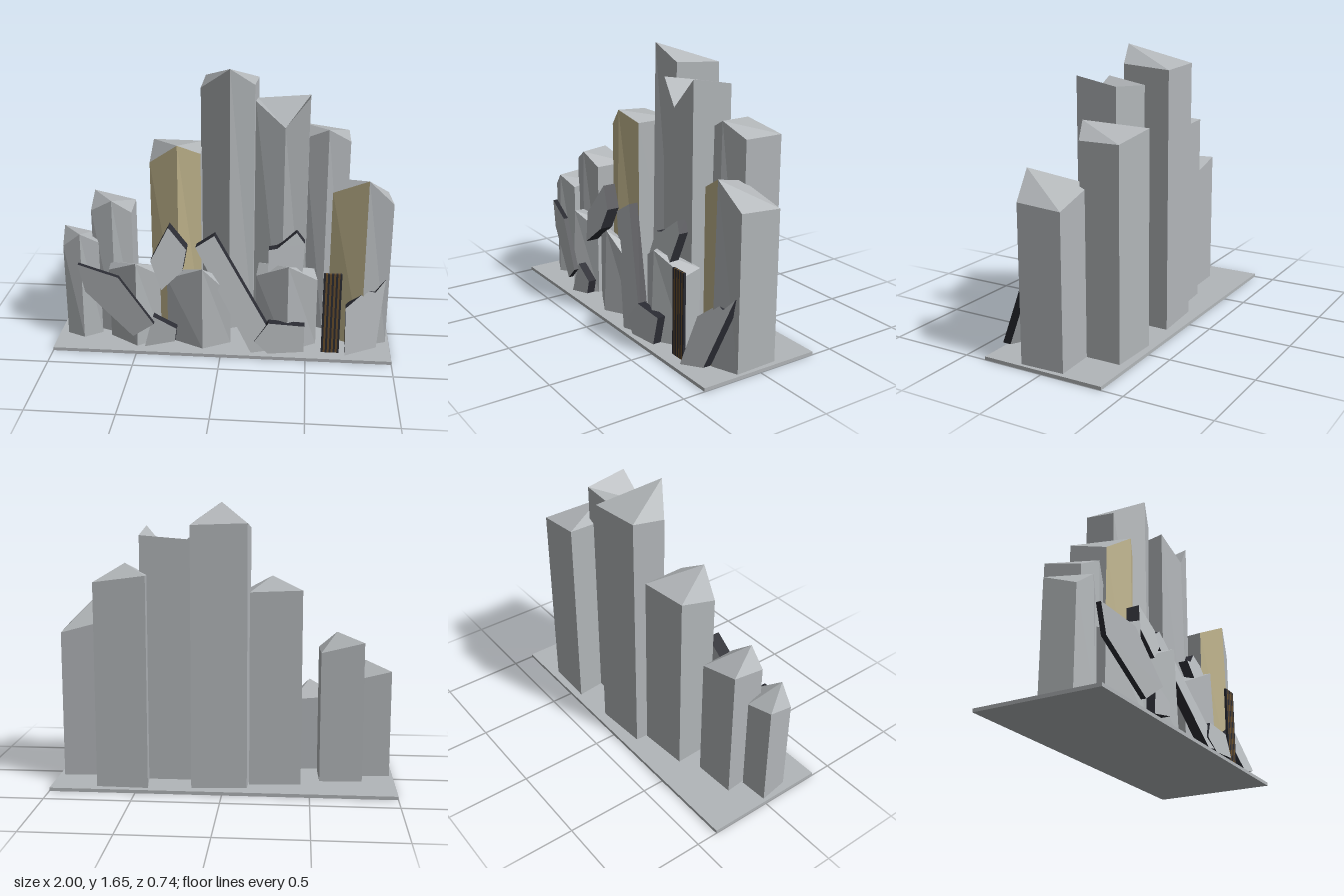
import * as THREE from 'three';

const mat = (name, color) => Object.assign(new THREE.MeshStandardMaterial({ color, flatShading: true }), { name });

export function createModel() {
  const rock = mat('grey rock', 0xb2b6b9);
  const sand = mat('sandy rock', 0xc0b48c);
  const dark = mat('dark rock edge', 0x2b2c33);
  const brown = mat('brown bar', 0x6a4f2c);
  const model = new THREE.Group();
  model.name = 'rockFormation';
  const floor = 0.02;

  const add = (name, geometry, material) => {
    const mesh = new THREE.Mesh(geometry, material);
    mesh.name = name;
    model.add(mesh);
    return mesh;
  };

  // Five-sided column: corners [x, z, height] run back left, back right, right, front, left.
  // The slanted cap fans out from the front corner; sandy lists the sides in the second colour.
  function column(name, corners, sandy = []) {
    const pos = [];
    const geometry = new THREE.BufferGeometry();
    const top = corners.map(([x, z, h]) => [x, h, z]);
    const base = corners.map(([x, z], i) => [x, floor, z + (i === 3 ? 0.02 : 0)]);
    corners.forEach((_, i) => {
      const j = (i + 1) % 5;
      geometry.addGroup(pos.length / 3, 6, sandy.includes(i) ? 1 : 0);
      [base[i], top[i], top[j], base[i], top[j], base[j]].forEach((p) => pos.push(...p));
    });
    geometry.addGroup(pos.length / 3, 9, 0);
    for (const [i, j] of [[4, 0], [0, 1], [1, 2]]) pos.push(...top[3], ...top[j], ...top[i]);
    geometry.setAttribute('position', new THREE.Float32BufferAttribute(pos, 3));
    geometry.computeVertexNormals();
    add(name, geometry, [rock, sand]);
  }

  // Tall columns, from the model's right to its left
  column('farRightColumn', [[-0.98, 0, 0.66], [-0.81, -0.01, 0.62], [-0.74, 0.16, 0.62], [-0.84, 0.21, 0.69], [-0.95, 0.18, 0.6]]);
  column('rightColumn', [[-0.81, -0.12, 0.85], [-0.56, -0.13, 0.79], [-0.55, 0.09, 0.79], [-0.66, 0.13, 0.875], [-0.79, 0.1, 0.8]]);
  column('rightSandyColumn', [[-0.45, -0.2, 1.16], [-0.15, -0.22, 1.15], [-0.14, 0.04, 1.15], [-0.27, 0.1, 1.215], [-0.44, 0.04, 1.09]], [2, 3]);
  column('tallestColumn', [[-0.14, -0.29, 1.54], [0.18, -0.31, 1.53], [0.17, -0.02, 1.55], [0.03, 0.03, 1.65], [-0.15, -0.09, 1.51]]);
  column('notchedColumn', [[0.18, -0.16, 1.44], [0.49, -0.16, 1.465], [0.485, 0.09, 1.51], [0.35, 0.12, 1.34], [0.18, 0.07, 1.48]]);
  column('backLeftColumn', [[0.43, -0.33, 1.25], [0.73, -0.32, 1.21], [0.73, -0.08, 1.21], [0.6, -0.02, 1.295], [0.46, -0.06, 1.23]]);
  column('leftSandyColumn', [[0.67, -0.11, 0.97], [0.97, -0.12, 0.89], [0.98, 0.14, 0.91], [0.83, 0.18, 1.06], [0.63, 0.11, 0.96]], [3]);

  // Low columns along the front
  column('lowRightColumn', [[-0.68, 0.12, 0.48], [-0.4, 0.1, 0.46], [-0.37, 0.2, 0.44], [-0.5, 0.29, 0.55], [-0.68, 0.19, 0.46]]);
  column('lowMiddleColumn', [[-0.33, 0.14, 0.45], [0.02, 0.13, 0.4], [0.05, 0.22, 0.34], [-0.11, 0.29, 0.53], [-0.33, 0.2, 0.42]]);
  column('lowLeftColumn', [[0.21, 0.1, 0.5], [0.54, 0.07, 0.46], [0.56, 0.19, 0.44], [0.39, 0.28, 0.56], [0.2, 0.2, 0.46]]);

  // Leaning slab: outline in x, y; its face lies on z = z0 + zx * x + zy * y
  function shard(name, outline, z0, zx, zy, depth = 0.05) {
    const shape = new THREE.Shape(outline.map(([x, y]) => new THREE.Vector2(x, y)));
    const geometry = new THREE.ExtrudeGeometry(shape, { depth, bevelEnabled: false });
    const p = geometry.attributes.position;
    for (let i = 0; i < p.count; i++) {
      p.setZ(i, p.getZ(i) - depth + z0 + zx * p.getX(i) + zy * p.getY(i));
    }
    geometry.computeVertexNormals();
    add(name, geometry, [rock, dark]);
  }
  shard('rightPlankShard', [[-0.85, 0.52], [-0.6, 0.47], [-0.39, 0.2], [-0.52, 0.1], [-0.81, 0.35]], 0.45, 0.22, 0, 0.03);
  shard('pointedShard', [[-0.32, 0.74], [-0.21, 0.62], [-0.23, 0.5], [-0.35, 0.39], [-0.42, 0.55]], 0.42, 0, -0.32, 0.08);
  shard('longPlankShard', [[-0.16, 0.62], [-0.05, 0.69], [0.35, 0.06], [0.18, 0.03]], 0.36, 0, -0.28, 0.06);
  shard('upperLeftShard', [[0.27, 0.62], [0.32, 0.63], [0.43, 0.72], [0.48, 0.66], [0.47, 0.5], [0.27, 0.5]], 0.41, 0, -0.36, 0.06);
  shard('lowerLeftShard', [[0.2, 0.1], [0.28, 0.21], [0.49, 0.2], [0.49, 0.05], [0.28, 0.03]], 0.36, 0, -0.2);
  shard('lowerRightShard', [[-0.45, 0.04], [-0.4, 0.23], [-0.26, 0.16], [-0.27, 0.08]], 0.35, 0, -0.1);
  shard('farLeftShard', [[0.73, 0.03], [0.73, 0.28], [0.85, 0.38], [0.9, 0.37], [0.96, 0.44], [0.95, 0.38], [0.91, 0.08]], 0.35, 0, -0.45);

  // Grate of upright bars
  const bars = 9;
  for (let i = 0; i < bars; i++) {
    const bar = add('grateBar', new THREE.BoxGeometry(0.0117, 0.51, 0.014), i % 2 ? brown : dark);
    bar.position.set(0.598 + i * 0.0117, 0.275, 0.285);
  }

  // Base slab
  add('baseSlab', new THREE.BoxGeometry(2, floor, 0.74), rock).position.y = floor / 2;
  return model;
}
